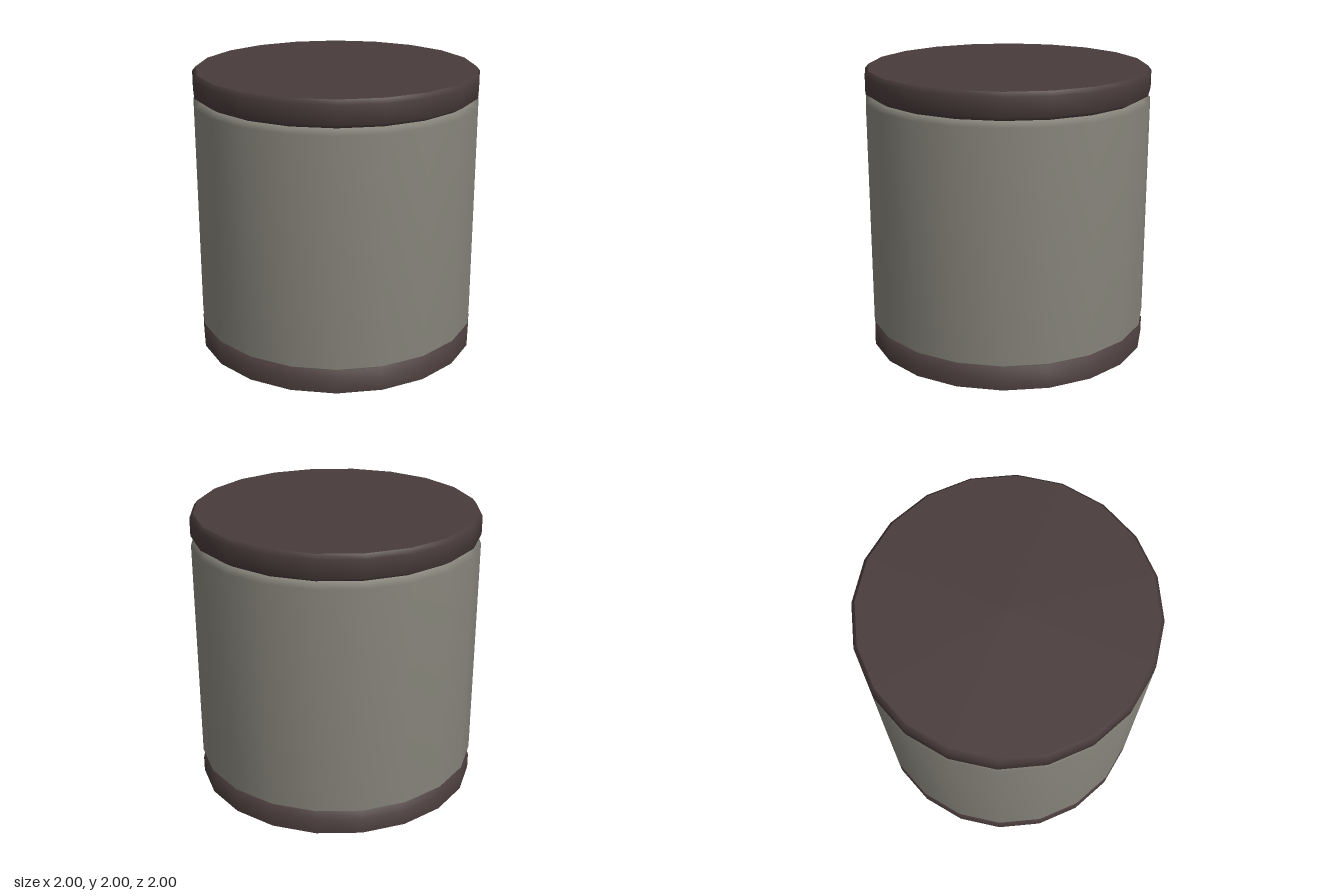
import * as THREE from 'three';

const SIDES = 20;

export function createModel() {
  const model = new THREE.Group();
  const trim = new THREE.MeshStandardMaterial({ color: 0x493b3b, side: THREE.DoubleSide });
  const wall = new THREE.MeshStandardMaterial({ color: 0x86847a, side: THREE.DoubleSide });

  const add = (name, geometry, material) => {
    const mesh = new THREE.Mesh(geometry, material);
    mesh.name = name;
    model.add(mesh);
    return mesh;
  };
  // Thin turned shell, profile given as [radius, height] from bottom to top
  const turned = (name, profile, material) =>
    add(name, new THREE.LatheGeometry(profile.map(([r, y]) => new THREE.Vector2(r, y)), SIDES), material);

  // Open-bottomed base band, ending in the lower groove
  turned('baseBand', [[1, 0], [1, 0.107], [0.945, 0.143]], trim);

  // Drum wall between the two grooves
  turned('drumWall', [[0.945, 0.143], [1, 0.178], [1, 1.778], [0.945, 1.812]], wall);

  // Lid rim with a small bevel, closed by a flat disc
  turned('lidRim', [[0.945, 1.812], [1, 1.845], [1, 1.97], [0.975, 2]], trim);
  const lid = add('lidTop', new THREE.CircleGeometry(0.975, SIDES), trim);
  lid.rotation.x = -Math.PI / 2;
  lid.position.y = 2;

  return model;
}
